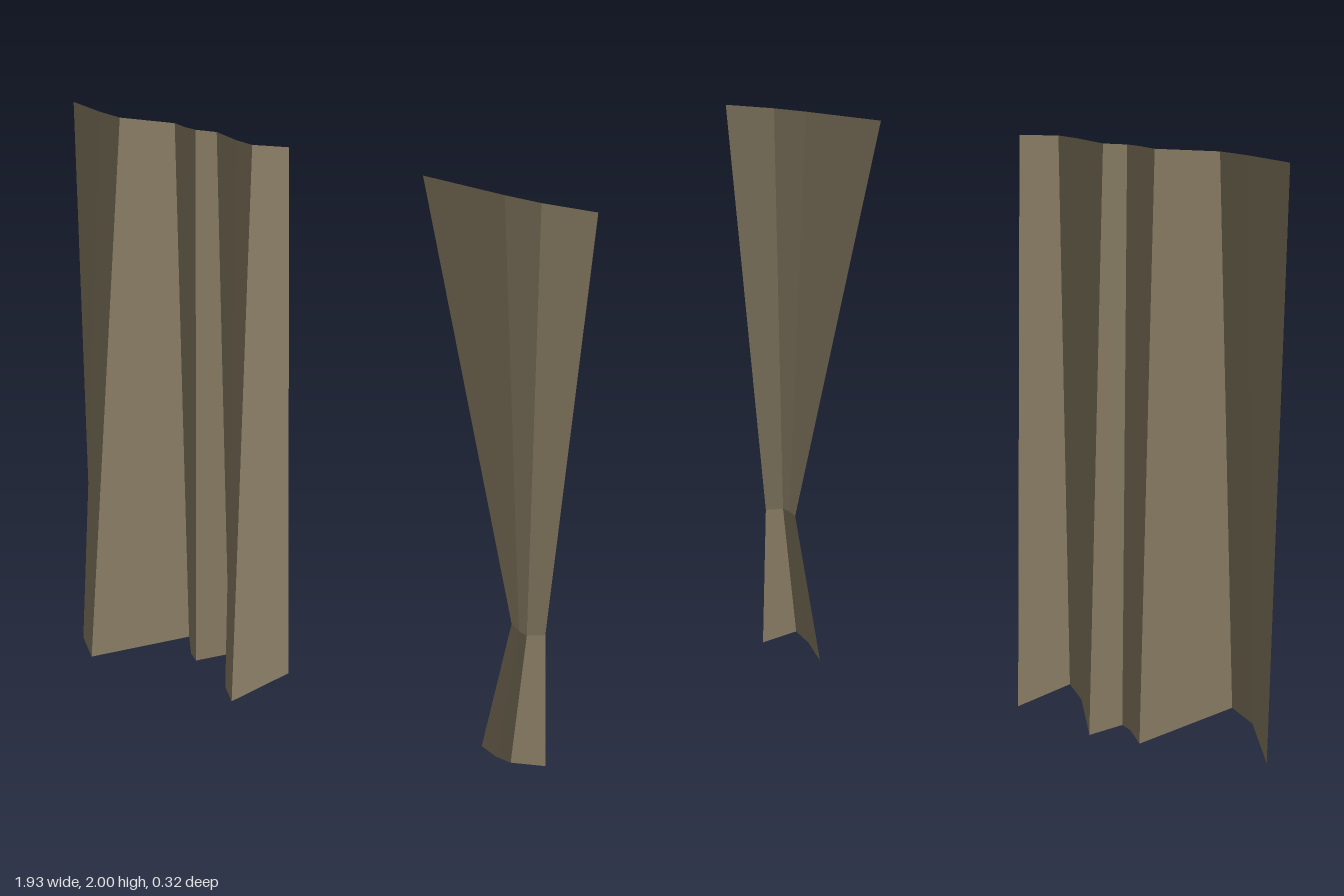
import * as THREE from 'three';

const fabric = new THREE.MeshStandardMaterial({ color: 0x8b7f66, side: THREE.DoubleSide });
fabric.name = 'taupe fabric';

// Sheet of cloth spanned between horizontal rows of [x, y, z] points, listed top to bottom.
// Each panel carries a single normal, so it shades evenly although it twists slightly.
function cloth(name, rows) {
  const positions = [], normals = [];
  for (let r = 0; r < rows.length - 1; r++) {
    for (let i = 0; i < rows[r].length - 1; i++) {
      const [a, b, c, d] = [rows[r][i], rows[r + 1][i], rows[r + 1][i + 1], rows[r][i + 1]]
        .map((p) => new THREE.Vector3(...p));
      const normal = c.clone().sub(a).cross(d.clone().sub(b)).normalize();
      for (const p of [a, b, d, b, c, d]) {
        positions.push(...p.toArray());
        normals.push(...normal.toArray());
      }
    }
  }
  const geometry = new THREE.BufferGeometry();
  geometry.setAttribute('position', new THREE.Float32BufferAttribute(positions, 3));
  geometry.setAttribute('normal', new THREE.Float32BufferAttribute(normals, 3));
  const mesh = new THREE.Mesh(geometry, fabric);
  mesh.name = name;
  return mesh;
}

export function createModel() {
  const group = new THREE.Group();
  group.name = 'curtains';

  // Hanging curtain: shallow pleats at the rail flaring out towards the hem
  group.add(cloth('hangingCurtain', [
    [[-0.95, 2, -0.165], [-0.81, 2, -0.128], [-0.72, 2, -0.115], [-0.535, 2, -0.165], [-0.48, 2, -0.15],
      [-0.44, 2, -0.147], [-0.37, 2, -0.165], [-0.27, 2, -0.132], [-0.205, 2, -0.122], [-0.095, 2, -0.165]],
    [[-0.965, 0.035, -0.14], [-0.84, 0.037, 0.08], [-0.74, 0.033, 0.16], [-0.535, 0.012, -0.165], [-0.47, 0.005, -0.085],
      [-0.43, 0.003, -0.06], [-0.355, 0, -0.165], [-0.24, 0.01, 0.03], [-0.165, 0.018, 0.1], [-0.08, 0.03, -0.14]],
  ]));

  // Tied curtain: wide at the rail, gathered at the waist, flared at the hem
  group.add(cloth('tiedCurtain', [
    [[0.385, 2, -0.165], [0.67, 2, -0.147], [0.79, 2, -0.146], [0.962, 2, -0.165]],
    [[0.795, 0.56, -0.117], [0.835, 0.56, -0.09], [0.868, 0.56, -0.08], [0.917, 0.56, -0.115]],
    [[0.705, 0.023, -0.135], [0.79, 0.05, -0.075], [0.855, 0.068, -0.05], [0.947, 0.04, -0.13]],
  ]));

  return group;
}
